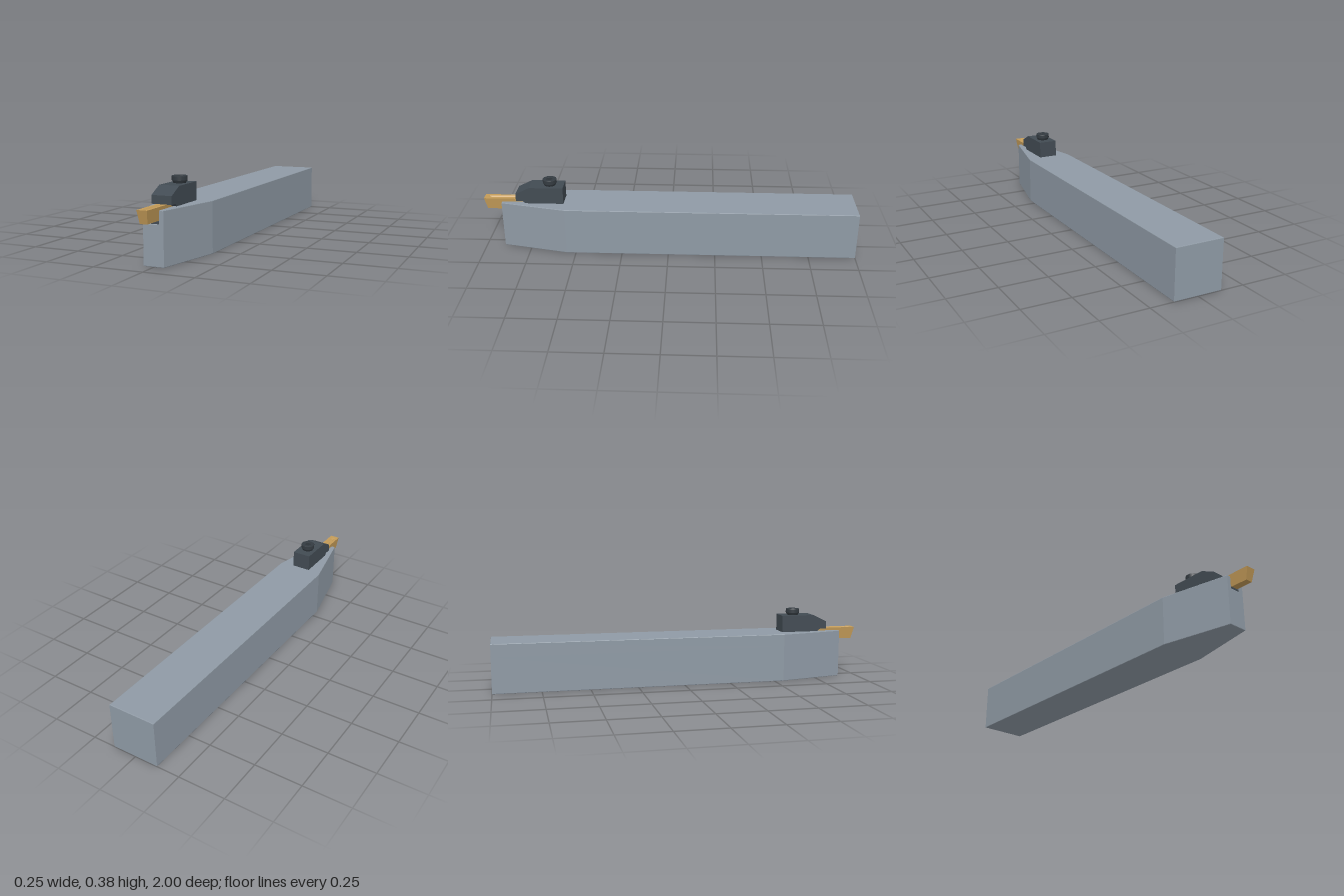
import * as THREE from 'three';

const mat = (name, color, side = THREE.FrontSide) => {
  const m = new THREE.MeshStandardMaterial({ color, side });
  m.name = name;
  return m;
};

function shapeOf(points) {
  return new THREE.Shape(points.map(([x, y]) => new THREE.Vector2(x, y)));
}

// Extrude a plan outline given as (x, z) upwards from y0 to y1 with a small edge bevel
function extrudePlan(shape, y0, y1, bevel) {
  const g = new THREE.ExtrudeGeometry(shape, {
    depth: y1 - y0 - 2 * bevel, bevelEnabled: true, bevelThickness: bevel,
    bevelSize: bevel, bevelOffset: -bevel, bevelSegments: 2, curveSegments: 40,
  });
  g.rotateX(-Math.PI / 2);
  g.translate(0, y0 + bevel, 0);
  return g;
}

// Closed solid through cross-sections of equal point count, ordered back to front
function loft(sections) {
  const n = sections[0].length, pos = [];
  const tri = (a, b, c) => pos.push(...a, ...b, ...c);
  for (let s = 0; s < sections.length - 1; s++) {
    const A = sections[s], B = sections[s + 1];
    for (let i = 0; i < n; i++) {
      const j = (i + 1) % n;
      tri(A[i], A[j], B[j]);
      tri(A[i], B[j], B[i]);
    }
  }
  const back = sections[0], front = sections[sections.length - 1];
  for (let i = 1; i < n - 1; i++) {
    tri(front[0], front[i], front[i + 1]);
    tri(back[0], back[i + 1], back[i]);
  }
  const g = new THREE.BufferGeometry();
  g.setAttribute('position', new THREE.Float32BufferAttribute(pos, 3));
  g.computeVertexNormals();
  return g;
}

export function createModel() {
  const model = new THREE.Group();
  model.name = 'grooving tool holder';
  const steel = mat('steel', 0x8f9aa5);
  const darkSteel = mat('dark steel', 0x424b53);
  const blackSteel = mat('black steel', 0x343b41);
  const gold = mat('gold carbide', 0xc39b58);

  const add = (name, geometry, material, parent = model) => {
    const m = new THREE.Mesh(geometry, material);
    m.name = name;
    parent.add(m);
    return m;
  };

  // Tapered shank: solid lower layer and an upper layer with the insert slot
  const shank = new THREE.Group();
  shank.name = 'shank';
  model.add(shank);
  const W = 0.127, N = 0.051, S = 0.03, front = 0.9;
  const lower = [[-N, -front], [N, -front], [W, -0.55], [W, 1], [-W, 1], [-W, -0.55]];
  const upper = [[S, -front], [N, -front], [W, -0.55], [W, 1], [-W, 1], [-W, -0.55],
    [-N, -front], [-S, -front], [-S, -0.6], [S, -0.6]];
  add('shankBase', extrudePlan(shapeOf(lower), 0, 0.194, 0.003), steel, shank);
  add('shankTop', extrudePlan(shapeOf(upper), 0.186, 0.257, 0.003), steel, shank);

  // Shim under the insert
  const shim = add('shim', new THREE.BoxGeometry(0.054, 0.014, 0.3), darkSteel);
  shim.position.set(0, 0.2, 0.747);

  // Insert: tapered bar with a shallow chip groove that stops short of the cutting edge
  const section = (z, depth, rake) => [
    [-0.019, 0.207, z - rake], [0.019, 0.207, z - rake], [0.026, 0.27, z],
    [0.011, 0.27, z], [0.005, 0.27 - depth, z], [-0.005, 0.27 - depth, z],
    [-0.011, 0.27, z], [-0.026, 0.27, z],
  ];
  add('insert', loft([
    section(0.62, 0.006, 0), section(0.965, 0.006, 0.008),
    section(0.982, 0, 0.012), section(1, 0, 0.016),
  ]), gold);

  // Clamp: side profile drawn as (z, y), extruded across the width
  const profile = shapeOf([[0.565, 0.257], [0.77, 0.257], [0.785, 0.27], [0.82, 0.27],
    [0.82, 0.31], [0.745, 0.347], [0.565, 0.347]]);
  const clamp = new THREE.ExtrudeGeometry(profile, { depth: 0.102, bevelEnabled: false });
  clamp.rotateY(-Math.PI / 2);
  clamp.translate(0.051, 0, 0);
  add('clamp', clamp, darkSteel);

  // Clamp screw: flared neck and round head with a hexagonal socket
  const screw = new THREE.Group();
  screw.name = 'clampScrew';
  screw.position.z = 0.64;
  model.add(screw);
  const neck = add('screwNeck', new THREE.CylinderGeometry(0.037, 0.029, 0.016, 40), blackSteel, screw);
  neck.position.y = 0.353;
  const head = new THREE.Shape().absarc(0, 0, 0.037, 0, Math.PI * 2);
  const hex = [];
  for (let i = 0; i < 6; i++) {
    const a = -i * Math.PI / 3;
    hex.push(new THREE.Vector2(0.017 * Math.cos(a), 0.017 * Math.sin(a)));
  }
  head.holes.push(new THREE.Path(hex));
  add('screwHead', extrudePlan(head, 0.358, 0.381, 0.002), blackSteel, screw);

  return model;
}
